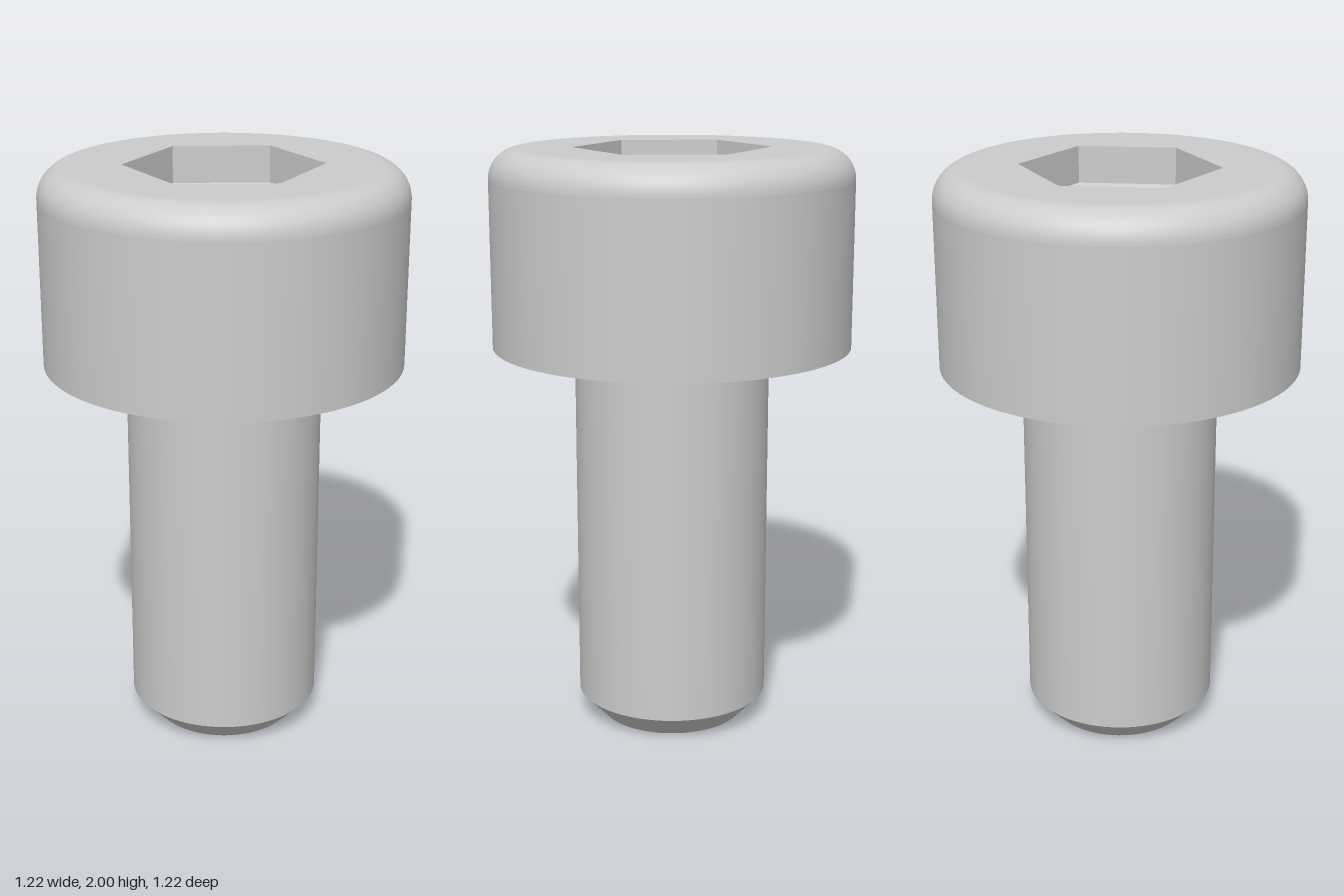
import * as THREE from 'three';

const SEG = 96;
const HEAD_R = 0.61, HEAD_Y = 1.335, TOP_Y = 2, ROUND = 0.1;
const SHANK_R = 0.332, TIP_R = 0.25, TIP_Y = 0.085, NECK = 0.018;
const HEX_R = 0.333, WALL_Y = 1.873, PIT_Y = 1.712;

// Points along a circular arc, angles in quarter turns
function arc(cx, cy, r, from, to, n) {
  return Array.from({ length: n + 1 }, (_, i) => {
    const a = (from + (to - from) * i / n) * Math.PI / 2;
    return [cx + r * Math.cos(a), cy + r * Math.sin(a)];
  });
}

function lathe(points, segments = SEG) {
  return new THREE.LatheGeometry(points.map(([x, y]) => new THREE.Vector2(x, y)), segments);
}

// Regular polygon with a corner on the second axis
function ring(r, n) {
  return Array.from({ length: n }, (_, i) => {
    const a = i / n * Math.PI * 2;
    return new THREE.Vector2(r * Math.sin(a), r * Math.cos(a));
  });
}

export function createModel() {
  const model = new THREE.Group();
  model.name = 'socketHeadScrew';
  const steel = new THREE.MeshStandardMaterial({ color: 0xcccccc });
  steel.name = 'steel grey';

  const add = (parent, name, geometry) => {
    const mesh = new THREE.Mesh(geometry, steel);
    mesh.name = name;
    parent.add(mesh);
  };
  const group = (name) => {
    const g = new THREE.Group();
    g.name = name;
    model.add(g);
    return g;
  };

  // Shank: flat tip, chamfer, straight body and small fillet under the head
  const shank = group('shank');
  add(shank, 'tipFace', lathe([[0, 0], [TIP_R, 0]]));
  add(shank, 'tipChamfer', lathe([[TIP_R, 0], [SHANK_R, TIP_Y]]));
  add(shank, 'shankBody', lathe([[SHANK_R, TIP_Y], [SHANK_R, HEAD_Y - NECK - 0.002]]));
  add(shank, 'neckFillet', lathe(arc(SHANK_R + NECK, HEAD_Y - NECK, NECK, 2, 1, 5)));

  // Head: flat underside, straight side rolling into a rounded rim, flat top
  const head = group('head');
  add(head, 'headUnderside', lathe([[SHANK_R, HEAD_Y], [HEAD_R, HEAD_Y]]));
  add(head, 'headSide', lathe([[HEAD_R, HEAD_Y], [HEAD_R, TOP_Y - ROUND]]));
  add(head, 'headRoundedRim', lathe(arc(HEAD_R - ROUND, TOP_Y - ROUND, ROUND, 0, 1, 12)));

  const top = new THREE.Shape(ring(HEAD_R - ROUND, SEG));
  top.holes.push(new THREE.Path(ring(HEX_R, 6)));
  add(head, 'headTop', new THREE.ShapeGeometry(top).rotateX(-Math.PI / 2).translate(0, TOP_Y, 0));

  // Hexagonal socket: six flat walls above a shallow pointed floor
  const socket = group('hexSocket');
  const walls = lathe([[HEX_R, TOP_Y], [HEX_R, WALL_Y]], 6).toNonIndexed();
  walls.computeVertexNormals();
  add(socket, 'socketWalls', walls);
  add(socket, 'socketFloor', lathe([[HEX_R, WALL_Y], [0, PIT_Y]], 6));

  return model;
}
